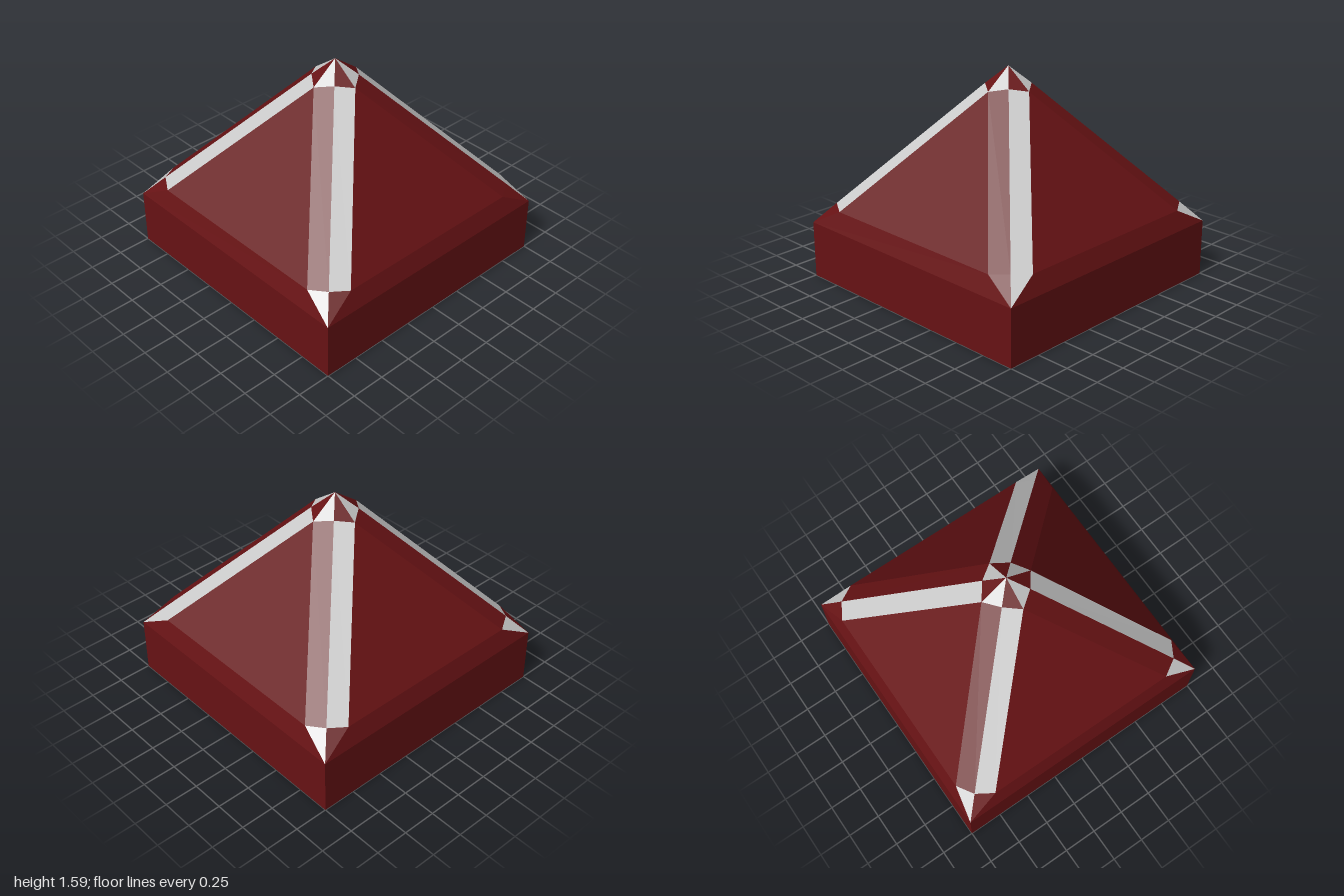
import * as THREE from 'three';

const RED = 0x671214, GREY = 0xcccccc;

// Control points of one quarter (+x, +z)
const P = {
  base: [1, 0, 1], centre: [0, 0, 0],
  corner: [1, 0.42, 1],
  lowX: [0.95, 0.555, 0.75], lowMid: [0.875, 0.57, 0.875], lowZ: [0.75, 0.555, 0.95],
  topX: [0.2, 1.44, 0], topMid: [0.115, 1.465, 0.115], topZ: [0, 1.44, 0.2],
  apex: [0, 1.59, 0],
};

// Quarter turn about y, taking the +x side to the +z side
function turn([x, y, z], times) {
  for (let i = 0; i < times; i++) [x, z] = [-z, x];
  return [x, y, z];
}

// Flat-shaded mesh from a list of convex faces
function facetMesh(name, faces, color) {
  const positions = [];
  for (const face of faces) {
    for (let i = 1; i < face.length - 1; i++) positions.push(...face[0], ...face[i], ...face[i + 1]);
  }
  const geometry = new THREE.BufferGeometry();
  geometry.setAttribute('position', new THREE.Float32BufferAttribute(positions, 3));
  geometry.computeVertexNormals();
  const mesh = new THREE.Mesh(geometry, new THREE.MeshStandardMaterial({ color, flatShading: true }));
  mesh.name = name;
  return mesh;
}

export function createModel() {
  const group = new THREE.Group();
  group.name = 'pyramidRoof';
  const base = [], panels = [], redHips = [], greyHips = [], redTips = [], greyTips = [], redCorners = [], greyCorners = [];

  for (let k = 0; k < 4; k++) {
    const p = {}, next = {};
    for (const key in P) {
      p[key] = turn(P[key], k);
      next[key] = turn(P[key], k + 1);
    }
    // Wall and underside
    base.push([p.corner, next.corner, next.base, p.base], [p.base, next.base, p.centre]);
    // Sloping panel and eave strip
    panels.push([p.topZ, next.lowX, p.lowZ], [p.lowZ, next.lowX, next.corner, p.corner]);
    // Hip bevel: one grey half, one red half
    greyHips.push([p.lowX, p.topX, p.topMid, p.lowMid]);
    redHips.push([p.lowMid, p.topMid, p.topZ, p.lowZ]);
    // Facets of the peak
    redTips.push([p.topX, p.apex, p.topMid]);
    greyTips.push([p.topMid, p.apex, p.topZ]);
    // Corner facets; the front left corner has its colours swapped
    const sideX = [p.corner, p.lowX, p.lowMid], sideZ = [p.corner, p.lowMid, p.lowZ];
    greyCorners.push(k === 0 ? sideX : sideZ);
    redCorners.push(k === 0 ? sideZ : sideX);
  }

  group.add(
    facetMesh('base', base, RED),
    facetMesh('roofPanels', panels, RED),
    facetMesh('redHipStrips', redHips, RED),
    facetMesh('greyHipStrips', greyHips, GREY),
    facetMesh('redPeakFacets', redTips, RED),
    facetMesh('greyPeakFacets', greyTips, GREY),
    facetMesh('redCornerFacets', redCorners, RED),
    facetMesh('greyCornerFacets', greyCorners, GREY),
  );
  return group;
}
